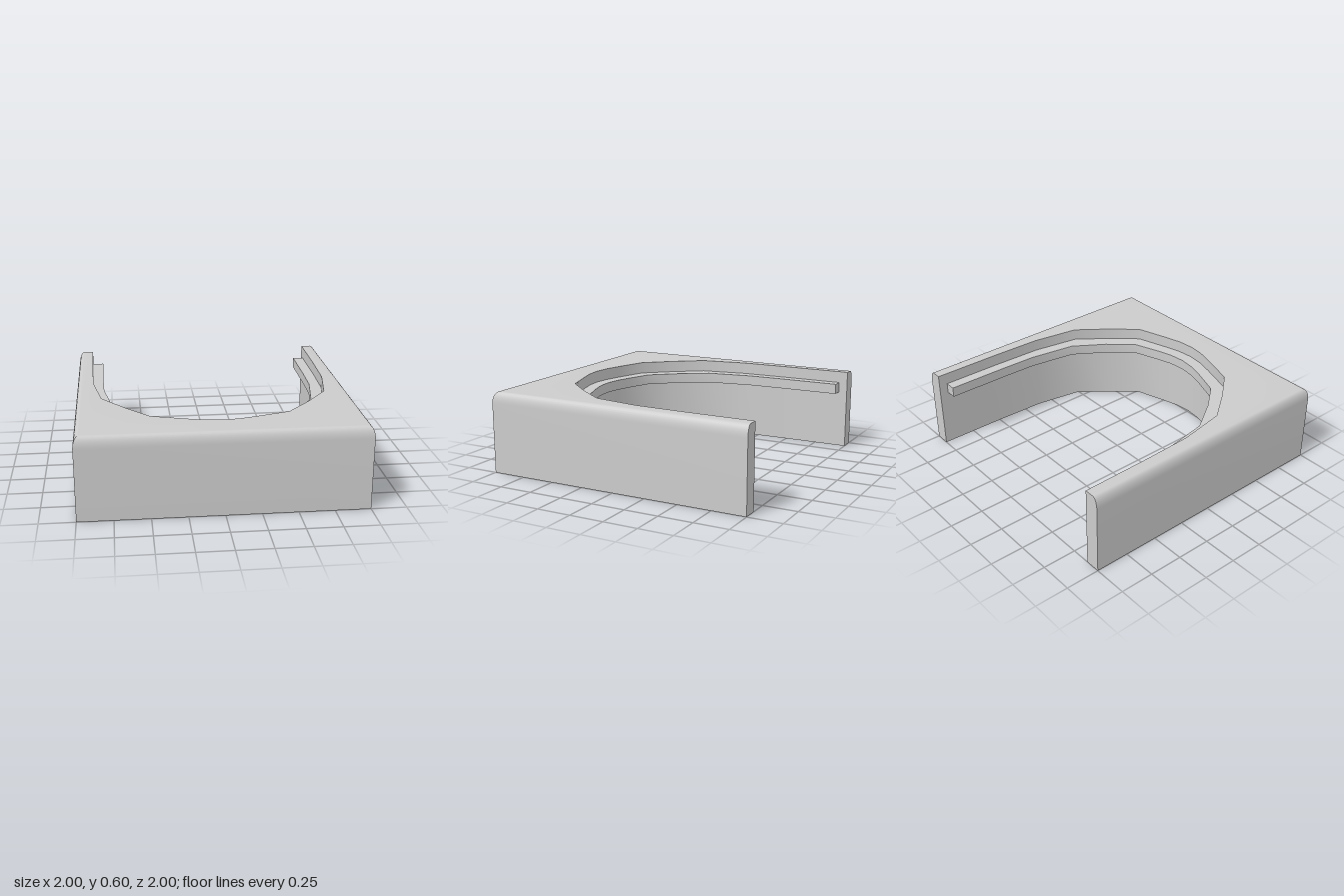
import * as THREE from 'three';
import { toCreasedNormals } from 'three/addons/utils/BufferGeometryUtils.js';

const material = new THREE.MeshStandardMaterial({ color: 0xcccccc });

// Mirror a half contour (x >= 0, ending on x = 0) into a full U of [x, z] points
const mirrorU = half => [...half, ...half.slice(0, -1).reverse().map(([x, z]) => [-x, z])];

// Solid with the given [x, z] outline, running up from y = 0
function extrudeUp(points, depth, steps = 1) {
  const shape = new THREE.Shape(points.map(([x, z]) => new THREE.Vector2(x, -z)));
  return new THREE.ExtrudeGeometry(shape, { depth, steps, bevelEnabled: false }).rotateX(-Math.PI / 2);
}

function addMesh(group, name, geometry, crease) {
  const mesh = new THREE.Mesh(toCreasedNormals(geometry, crease), material);
  mesh.name = name;
  group.add(mesh);
  return mesh;
}

export function createModel() {
  const group = new THREE.Group();
  group.name = 'uShapedHousing';

  const cutout = mirrorU([[0.89, -1], [0.885, -0.5], [0.874, -0.12], [0.815, 0.23], [0.65, 0.45],
    [0.483, 0.64], [0.24, 0.717], [0.12, 0.75], [0, 0.762]]);
  const railEdge = mirrorU([[0.808, -0.935], [0.805, -0.5], [0.797, -0.21], [0.74, 0.14], [0.59, 0.37],
    [0.437, 0.55], [0.23, 0.625], [0.12, 0.657], [0, 0.67]]);

  // Block with open U cutout; the upper levels draw in to round the outer top edges
  const steps = 9, base = 0.515, top = 0.6, round = 0.04;
  const body = extrudeUp([[-1, -1], [-1, 1], [1, 1], [1, -1], ...cutout], 1, steps);
  const pos = body.attributes.position;
  for (let i = 0; i < pos.count; i++) {
    const level = Math.round(pos.getY(i) * steps);
    const a = Math.max(0, (level - 1) / (steps - 1)) * Math.PI / 2;
    const inset = round * (1 - Math.cos(a));
    const x = pos.getX(i), z = pos.getZ(i);
    if (Math.abs(x) > 0.99) pos.setX(i, Math.sign(x) * (1 - inset));
    if (z > 0.99) pos.setZ(i, 1 - inset);
    pos.setY(i, level === 0 ? 0 : base + (top - base) * Math.sin(a));
  }
  addMesh(group, 'body', body, 0.6);

  // Ledge rail running round the cutout, set slightly into its wall
  const seat = cutout.map(([x, z], i) => {
    const atEnd = i === 0 || i === cutout.length - 1;
    return [x * 1.01, atEnd ? -0.935 : z + (z > 0 ? 0.01 : 0)];
  });
  const rail = addMesh(group, 'innerRail', extrudeUp([...railEdge, ...seat.reverse()], 0.077), 0.6);
  rail.position.y = 0.436;

  return group;
}
